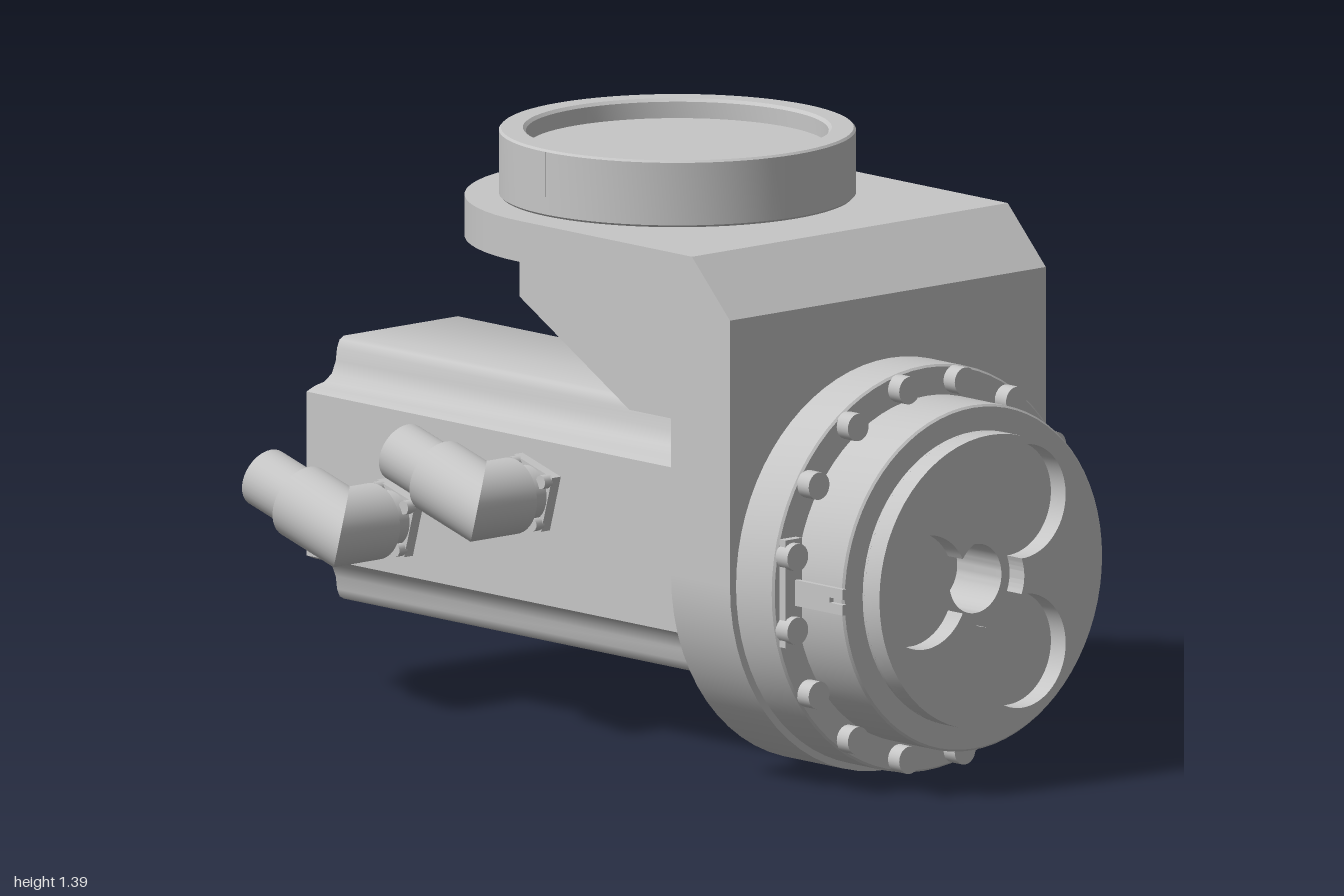
import * as THREE from 'three';
import { toCreasedNormals } from 'three/addons/utils/BufferGeometryUtils.js';

const steel = new THREE.MeshStandardMaterial({ color: 0xc6c6c6 });
steel.name = 'machinedGrey';

const CZ = -0.037;      // shared centre plane
const AXIS_Y = 0.487;   // motor and gearbox axis
const ARM_X = -0.0615;  // vertical axis of the upper ring

export function createModel() {
  const model = new THREE.Group();
  model.name = 'rotaryDriveUnit';

  const add = (name, geo, pos = [0, 0, 0], parent = model) => {
    const mesh = new THREE.Mesh(geo, steel);
    mesh.name = name;
    mesh.position.set(...pos);
    parent.add(mesh);
    return mesh;
  };
  const rod = (r, len, axis = 'y', seg = 24) => {
    const g = new THREE.CylinderGeometry(r, r, len, seg);
    if (axis === 'x') g.rotateZ(-Math.PI / 2);
    if (axis === 'z') g.rotateX(Math.PI / 2);
    return g;
  };
  const box = (x, y, z) => new THREE.BoxGeometry(x, y, z);
  const vec = ([x, y]) => new THREE.Vector2(x, y);
  const lathe = (pts) => toCreasedNormals(new THREE.LatheGeometry(pts.map(vec), 72), 0.5);
  const extrude = (shape, depth, crease = 0.6) => toCreasedNormals(
    new THREE.ExtrudeGeometry(shape, { depth, bevelEnabled: false, curveSegments: 32 }), crease);

  // Angled bracket: central profile plus rounded ends
  const R = 0.485;
  const profile = new THREE.Shape([
    [0.453, AXIS_Y], [0.653, AXIS_Y], [0.653, 1.105], [0.524, 1.235], [ARM_X, 1.235],
    [ARM_X, 1.06], [0.312, 0.85], [0.453, 0.85]].map(vec));
  add('bracketBody', extrude(profile, 2 * R, 0.2), [0, 0, CZ - R]);
  const halfDisc = (h) => new THREE.CylinderGeometry(R, R, h, 32, 1, false, Math.PI, Math.PI);
  add('bracketArmEnd', halfDisc(0.095), [ARM_X, 1.1875, CZ]);
  add('bracketLowerEnd', halfDisc(0.2).rotateZ(Math.PI / 2), [0.553, AXIS_Y, CZ]);

  // Upper mounting ring with a shallow recess
  add('mountingRing', lathe([[0.402, 1.235], [0.407, 1.24], [0.407, 1.385], [0.402, 1.39],
    [0.352, 1.39], [0.345, 1.383], [0.345, 1.345], [0, 1.345]]), [ARM_X, 0, CZ]);
  for (const s of [-1, 1]) {
    add('ringMark', box(0.005, 0.105, 0.006), [ARM_X, 1.333, CZ + s * 0.406]);
  }

  // Ring screws below the arm, the rest lie inside the bracket
  for (const deg of [90, 150, 210, 270]) {
    const a = deg * Math.PI / 180;
    const x = ARM_X + Math.cos(a) * 0.325, z = CZ + Math.sin(a) * 0.325;
    add('armScrewHead', rod(0.045, 0.055), [x, 1.1075, z]);
    add('armScrewCollar', rod(0.036, 0.01), [x, 1.137, z]);
  }

  // Motor housing with coved corners
  const MOTOR_Y = 0.491;
  const quarter = [[0.29, 0.19], [0.265, 0.2], [0.235, 0.206], [0.212, 0.222], [0.2, 0.25],
    [0.196, 0.28], [0.188, 0.298], [0.175, 0.305]];
  const section = [];
  for (const [sx, sy] of [[1, 1], [-1, 1], [-1, -1], [1, -1]]) {
    const q = quarter.map(([x, y]) => new THREE.Vector2(x * sx, y * sy));
    section.push(...(sx * sy > 0 ? q : q.reverse()));
  }
  add('motorHousing', extrude(new THREE.Shape(section), 1.453, 0.7).rotateY(Math.PI / 2),
    [-1, MOTOR_Y, CZ]);
  for (const sy of [-1, 1]) for (const sz of [-1, 1]) {
    const y = MOTOR_Y + sy * 0.23, z = CZ + sz * 0.235;
    add('motorScrewBoss', rod(0.055, 0.05, 'x', 32), [0.428, y, z]);
    add('motorScrew', rod(0.033, 0.05, 'x'), [0.378, y, z]);
  }

  // Stepped gearbox output along +x with a deep central bore
  add('gearboxHousing', lathe([[0, 0.653], [0.465, 0.653], [0.47, 0.657], [0.47, 0.778],
    [0.465, 0.783], [0.4, 0.783], [0.4, 0.938], [0.395, 0.943], [0.34, 0.943], [0.34, 0.95],
    [0.08, 0.95], [0.08, 0.8], [0, 0.8]]).rotateZ(-Math.PI / 2), [0, AXIS_Y, CZ]);

  // Output face: three pockets joined around the bore
  const d = 0.2, r = 0.132, c = 0.105;
  const a = Math.acos((c * c + d * d - r * r) / (2 * c * d));
  const b = Math.acos((d * d + r * r - c * c) / (2 * d * r));
  const pockets = new THREE.Path();
  for (let k = 0; k < 3; k++) {
    const f = Math.PI + k * 2 * Math.PI / 3;
    pockets.absarc(d * Math.cos(f), d * Math.sin(f), r, f + Math.PI + b, f + 3 * Math.PI - b, false);
    pockets.absarc(0, 0, c, f + a, f + 2 * Math.PI / 3 - a, false);
  }
  const face = new THREE.Shape().absarc(0, 0, 0.34, 0, 2 * Math.PI, false);
  face.holes.push(pockets);
  add('outputFace', extrude(face, 0.05).rotateY(Math.PI / 2), [0.95, AXIS_Y, CZ]);

  // Ring of sixteen gearbox screws
  for (let i = 0; i < 16; i++) {
    const t = (i + 0.5) * Math.PI / 8;
    add('gearboxScrew', rod(0.032, 0.04, 'x'),
      [0.801, AXIS_Y + Math.sin(t) * 0.437, CZ + Math.cos(t) * 0.437]);
  }

  // Position pointer with a forked tip
  add('pointerBase', box(0.02, 0.25, 0.05), [0.793, AXIS_Y, 0.388]);
  add('pointerPlate', box(0.13, 0.06, 0.012), [0.855, AXIS_Y, 0.378]);
  for (const s of [-1, 1]) {
    add('pointerProng', box(0.045, 0.024, 0.012), [0.942, AXIS_Y + s * 0.018, 0.378]);
  }

  // Tubes cut along the plane x = z, so that two of them meet in an elbow
  const ELBOW_R = 0.088;
  const mitred = (axis, start) => {
    const g = rod(ELBOW_R, 2 * -start, axis, 40);
    const p = g.attributes.position;
    for (let i = 0; i < p.count; i++) {
      if (axis === 'x' && p.getX(i) > 0) p.setX(i, p.getZ(i));
      if (axis === 'z' && p.getZ(i) > 0) p.setZ(i, p.getX(i));
    }
    return toCreasedNormals(g, 0.5);
  };

  // Two angled cable connectors on the motor's front face
  for (const [x, y] of [[-0.685, 0.435], [-0.22, 0.56]]) {
    const connector = new THREE.Group();
    connector.name = 'cableConnector';
    connector.position.set(x, y, 0.43);
    connector.rotation.z = -0.28;
    model.add(connector);
    const part = (name, geo, pos) => add(name, geo, pos, connector);
    part('connectorPlug', rod(0.07, 0.15, 'x', 32), [-0.2, 0, -0.005]);
    part('connectorSleeve', mitred('x', -0.14));
    part('connectorElbow', mitred('z', -0.1));
    part('connectorNeck', rod(0.065, 0.09, 'z', 32), [0, 0, -0.135]);
    part('connectorBase', box(0.135, 0.135, 0.03), [0, 0, -0.165]);
    for (const sx of [-1, 1]) for (const sy of [-1, 1]) {
      part('connectorScrew', rod(0.016, 0.025, 'z', 12), [sx * 0.053, sy * 0.053, -0.143]);
    }
  }
  return model;
}
